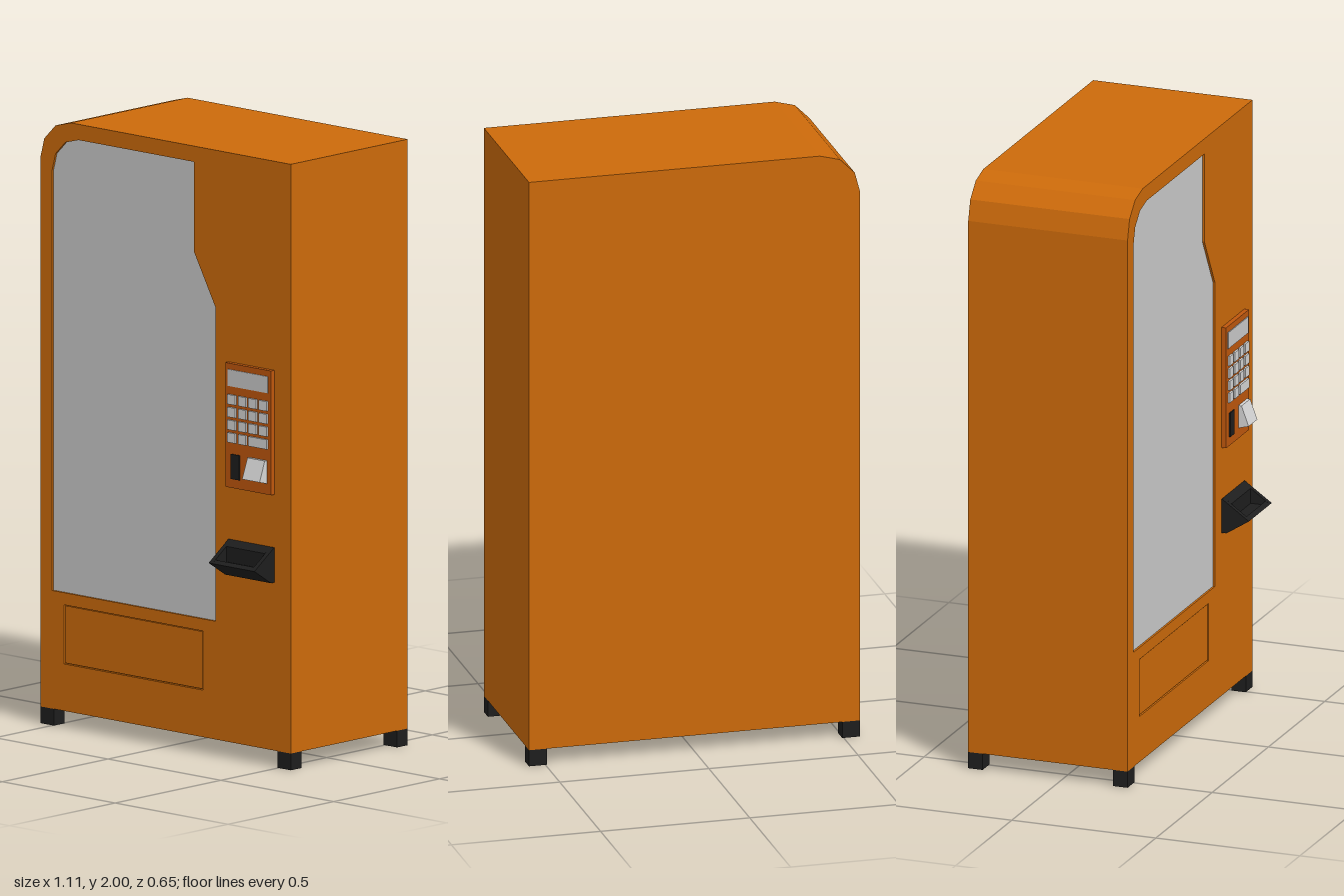
import * as THREE from 'three';

const mat = (name, color) => {
  const m = new THREE.MeshStandardMaterial({ color });
  m.name = name;
  return m;
};

export function createModel() {
  const group = new THREE.Group();
  group.name = 'vendingMachine';
  const orange = mat('orange', 0xcc6a0a);
  const darkOrange = mat('darkOrange', 0xbf570d);
  const glassGrey = mat('glassGrey', 0xcbcbcb);
  const keyGrey = mat('keyGrey', 0xd6d6d6);
  const black = mat('black', 0x1e1e1e);

  const add = (name, geometry, material, parent = group) => {
    const mesh = new THREE.Mesh(geometry, material);
    mesh.name = name;
    parent.add(mesh);
    return mesh;
  };
  // Box given by its limits on each axis
  const box = (name, x0, x1, y0, y1, z0, z1, material, parent) => {
    const g = new THREE.BoxGeometry(x1 - x0, y1 - y0, z1 - z0);
    g.translate((x0 + x1) / 2, (y0 + y1) / 2, (z0 + z1) / 2);
    return add(name, g, material, parent);
  };
  const polygon = (pts) => new THREE.Shape(pts.map(([x, y]) => new THREE.Vector2(x, y)));
  // Outline in x, y extruded between two depths
  const slab = (name, shape, z0, z1, material) => {
    const g = new THREE.ExtrudeGeometry(shape, { depth: z1 - z0, bevelEnabled: false });
    g.translate(0, 0, z0);
    return add(name, g, material);
  };
  // Profile in z, y extruded between two x positions
  const prism = (name, pts, x0, x1, material, parent) => {
    const g = new THREE.ExtrudeGeometry(polygon(pts), { depth: x1 - x0, bevelEnabled: false });
    g.rotateY(-Math.PI / 2);
    g.translate(x1, 0, 0);
    return add(name, g, material, parent);
  };
  // Three-segment rounded corner, from the top edge down to the right side
  const corner = (cx, cy, r) => [0, 1, 2, 3].map((i) => {
    const a = Math.PI / 2 + (i * Math.PI) / 6;
    return [cx + r * Math.cos(a), cy + r * Math.sin(a)];
  });

  // Cabinet with a front frame that is open around the window and the flap
  const outline = [[-0.555, 0.055], [0.555, 0.055], [0.555, 2], ...corner(-0.42, 1.865, 0.135)];
  const windowPts = [[-0.503, 0.445], [0.222, 0.445], [0.222, 1.48], [0.127, 1.65],
    [0.127, 1.948], ...corner(-0.385, 1.83, 0.118)];
  const flapPts = [[-0.45, 0.21], [0.165, 0.21], [0.165, 0.405], [-0.45, 0.405]];
  slab('cabinet', polygon(outline), -0.325, 0.218, orange);
  const frame = polygon(outline);
  frame.holes.push(polygon(windowPts), polygon(flapPts));
  slab('frontFrame', frame, 0.218, 0.228, orange);
  slab('window', polygon(windowPts), 0.218, 0.221, glassGrey);
  box('deliveryFlap', -0.447, 0.162, 0.213, 0.402, 0.218, 0.225, orange);

  // Feet
  for (const s of [-1, 1]) {
    for (const z of [-0.325, 0.178]) {
      box('foot', s * 0.525 - 0.03, s * 0.525 + 0.03, 0, 0.055, z, z + 0.05, black);
    }
  }

  // Payment panel
  const panel = new THREE.Group();
  panel.name = 'paymentPanel';
  group.add(panel);
  const face = 0.244;
  box('panelPlate', 0.28, 0.483, 0.9, 1.31, 0.226, face, darkOrange, panel);
  box('display', 0.293, 0.47, 1.235, 1.29, face, face + 0.003, glassGrey, panel);
  const columns = [0.295, 0.342, 0.388, 0.434];
  for (let row = 0; row < 4; row++) {
    const y = 1.176 - row * 0.042;
    columns.forEach((x, i) => {
      if (row === 3 && i === 3) return;
      const wide = row === 3 && i === 2;
      box('key', x, wide ? 0.468 : x + 0.034, y, y + 0.032, face, face + 0.007, keyGrey, panel);
    });
  }
  box('coinSlot', 0.307, 0.345, 0.93, 1.012, face, face + 0.004, black, panel);
  prism('noteSlot', [[0.243, 0.935], [0.28, 0.945], [0.255, 1.012], [0.243, 1.012]],
    0.388, 0.465, keyGrey, panel);

  // Coin return tray: hollow middle between solid ends
  const tray = new THREE.Group();
  tray.name = 'coinTray';
  group.add(tray);
  const endPts = [[0.226, 0.61], [0.245, 0.61], [0.323, 0.66], [0.23, 0.725], [0.226, 0.725]];
  const middlePts = [[0.226, 0.61], [0.245, 0.61], [0.323, 0.66], [0.308, 0.67],
    [0.295, 0.656], [0.256, 0.656], [0.256, 0.707], [0.23, 0.725], [0.226, 0.725]];
  prism('trayEnd', endPts, 0.28, 0.296, black, tray);
  prism('trayMiddle', middlePts, 0.296, 0.467, black, tray);
  prism('trayEnd', endPts, 0.467, 0.483, black, tray);

  return group;
}
